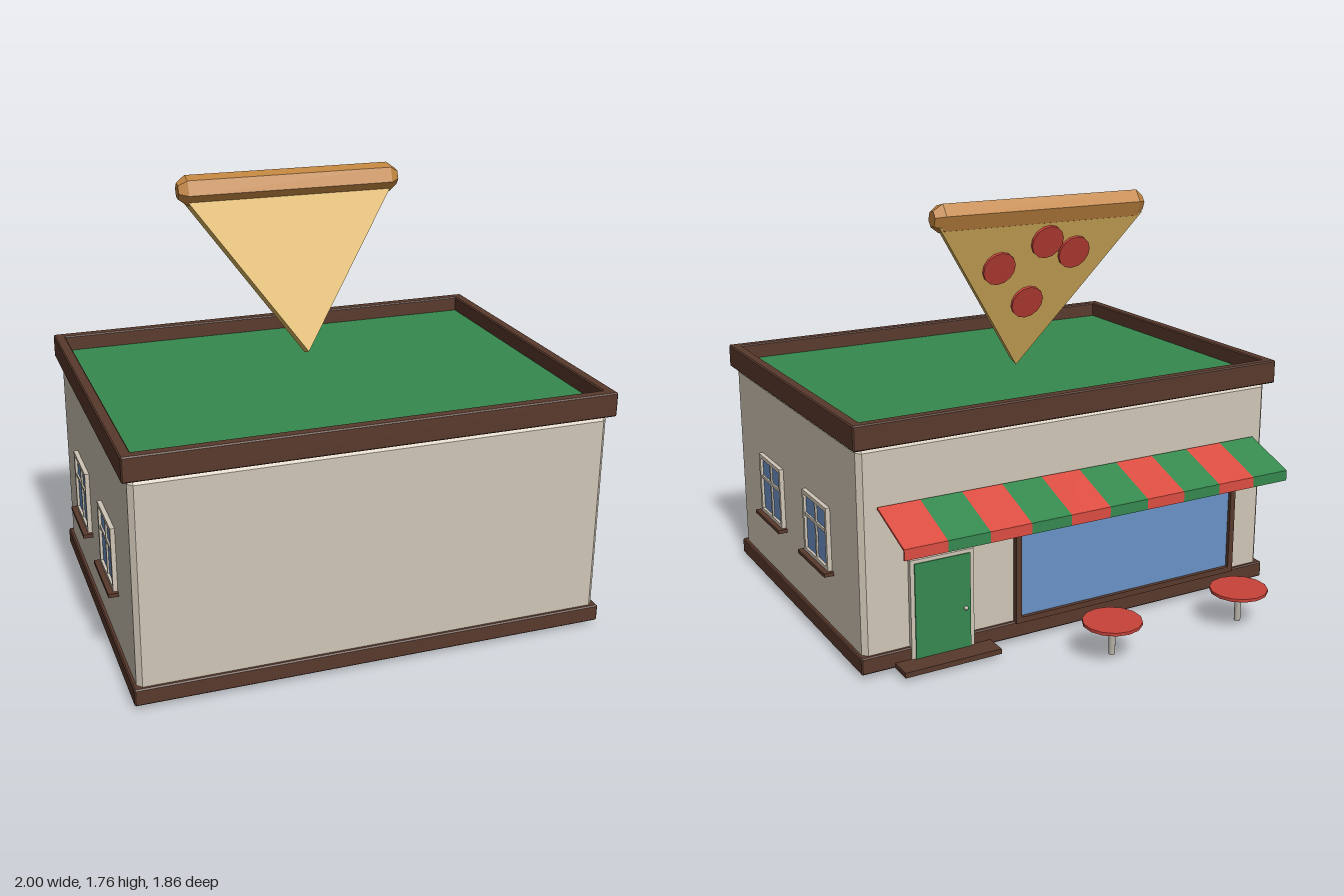
import * as THREE from 'three';
import { ConvexGeometry } from 'three/addons/geometries/ConvexGeometry.js';

const mat = (name, color, extra = {}) => {
  const m = new THREE.MeshStandardMaterial({ color, ...extra });
  m.name = name;
  return m;
};

export function createModel() {
  const root = new THREE.Group();
  root.name = 'pizzeria';
  const wall = mat('plaster', 0xd0c6b6);
  const trim = mat('darkWood', 0x59392c);
  const green = mat('green', 0x35894f);
  const red = mat('awningRed', 0xdc4d41);
  const darkRed = mat('tomatoRed', 0xc8433a);
  const cheese = mat('cheese', 0xdfb761);
  const crustMat = mat('crust', 0xc28541, { flatShading: true });
  const glass = mat('glass', 0x6a92c6);
  const metal = mat('metal', 0xb9b3a8);

  const add = (name, geo, material, x = 0, y = 0, z = 0, parent = root) => {
    const m = new THREE.Mesh(geo, material);
    m.name = name;
    m.position.set(x, y, z);
    parent.add(m);
    return m;
  };
  // Box given by its limits
  const box = (name, material, x0, x1, y0, y1, z0, z1, parent = root) =>
    add(name, new THREE.BoxGeometry(x1 - x0, y1 - y0, z1 - z0), material,
      (x0 + x1) / 2, (y0 + y1) / 2, (z0 + z1) / 2, parent);
  // Box with chamfered edges, given by its limits
  const chamferBox = (name, material, x0, x1, y0, y1, z0, z1, c) => {
    const h = [(x1 - x0) / 2, (y1 - y0) / 2, (z1 - z0) / 2];
    const pts = [];
    for (const sx of [-1, 1]) for (const sy of [-1, 1]) for (const sz of [-1, 1])
      for (let k = 0; k < 3; k++) {
        const p = h.map((v, i) => (i === k ? v : v - c));
        pts.push(new THREE.Vector3(sx * p[0], sy * p[1], sz * p[2]));
      }
    return add(name, new ConvexGeometry(pts), material, (x0 + x1) / 2, (y0 + y1) / 2, (z0 + z1) / 2);
  };
  // Rectangular frame in the xy plane, extruded along +z from 0
  const frameGeo = (x0, x1, y0, y1, t, depth) => {
    const rect = (a, b, c, d) => [[a, c], [b, c], [b, d], [a, d]].map(p => new THREE.Vector2(...p));
    const s = new THREE.Shape(rect(x0, x1, y0, y1));
    s.holes.push(new THREE.Path(rect(x0 + t, x1 - t, y0 + t, y1 - t).reverse()));
    return new THREE.ExtrudeGeometry(s, { depth, bevelEnabled: false });
  };

  // Building shell
  chamferBox('walls', wall, -0.96, 0.96, 0.03, 0.93, -0.49, 0.905, 0.02);
  chamferBox('plinth', trim, -0.975, 0.975, 0.02, 0.09, -0.505, 0.92, 0.005);
  box('roof', green, -0.945, 0.945, 0.92, 0.965, -0.48, 0.885);
  for (const s of [-1, 1]) {
    const a = s * 0.985, b = s * 0.94;
    chamferBox('corniceSide', trim, Math.min(a, b), Math.max(a, b), 0.93, 1.03, -0.52, 0.925, 0.005);
  }
  chamferBox('corniceBack', trim, -0.985, 0.985, 0.93, 1.03, -0.52, -0.475, 0.005);
  chamferBox('corniceFront', trim, -0.985, 0.985, 0.93, 1.03, 0.88, 0.925, 0.005);

  // Side windows, two on each side wall
  for (const s of [-1, 1]) for (const z of [0.47, -0.06]) {
    const w = new THREE.Group();
    w.name = 'sideWindow';
    w.position.set(s * 0.96, 0, z);
    w.rotation.y = s * Math.PI / 2;
    root.add(w);
    add('windowFrame', frameGeo(-0.132, 0.132, 0.335, 0.605, 0.018, 0.018), wall, 0, 0, 0, w);
    box('windowGlass', glass, -0.116, 0.116, 0.35, 0.59, -0.002, 0.007, w);
    box('verticalBar', wall, -0.007, 0.007, 0.35, 0.59, 0.006, 0.014, w);
    box('horizontalBar', wall, -0.116, 0.116, 0.493, 0.507, 0.006, 0.014, w);
    box('windowSill', trim, -0.148, 0.148, 0.322, 0.338, 0, 0.04, w);
  }

  // Shop window
  add('shopWindowFrame', frameGeo(-0.8, 0.3, 0.085, 0.56, 0.025, 0.03), trim, 0, 0, -0.517);
  box('shopWindowGlass', glass, -0.778, 0.278, 0.09, 0.54, -0.5, -0.492);

  // Door with frame, knob and step
  add('doorFrame', frameGeo(0.49, 0.765, 0, 0.455, 0.018, 0.022), wall, 0, 0, -0.51);
  box('door', green, 0.507, 0.748, 0.04, 0.44, -0.515, -0.49);
  add('doorKnob', new THREE.SphereGeometry(0.009, 10, 8), metal, 0.53, 0.21, -0.519);
  box('doorStep', trim, 0.415, 0.835, 0.018, 0.04, -0.6, -0.5);

  // Striped awning: sloped panels, each with a hanging flap
  const stripe = 0.178, run = 0.235, drop = 0.085;
  for (let i = 0; i < 10; i++) {
    const x = -0.89 + stripe * (i + 0.5);
    const m = i % 2 ? red : green;
    const panel = add('awningStripe', new THREE.BoxGeometry(stripe, 0.009, Math.hypot(run, drop)), m, x, 0.648, -0.6175);
    panel.rotation.x = -Math.atan2(drop, run);
    box('awningFlap', m, x - stripe / 2, x + stripe / 2, 0.565, 0.609, -0.738, -0.731);
  }

  // Outdoor tables
  for (const x of [-0.6, 0.03]) {
    add('tableTop', new THREE.CylinderGeometry(0.121, 0.121, 0.013, 14), darkRed, x, 0.156, -0.81);
    add('tableLeg', new THREE.CylinderGeometry(0.014, 0.014, 0.135, 10), metal, x, 0.084, -0.81);
  }

  // Rooftop pizza slice, leaning backwards: local y runs from tip to crust
  const slice = new THREE.Group();
  slice.name = 'pizzaSlice';
  slice.position.set(0, 1.025, 0.05);
  slice.rotation.x = -Math.PI / 9;
  root.add(slice);
  const tri = new THREE.Shape([[0, 0], [0.473, 0.7], [-0.473, 0.7]].map(p => new THREE.Vector2(...p)));
  add('cheeseWedge', new THREE.ExtrudeGeometry(tri, { depth: 0.06, bevelEnabled: false }), cheese, 0, 0, -0.03, slice);
  const profile = [[0, -0.488], [0.035, -0.488], [0.064, -0.45], [0.064, 0.45], [0.035, 0.488], [0, 0.488]]
    .map(p => new THREE.Vector2(...p));
  const crustGeo = new THREE.LatheGeometry(profile, 6);
  crustGeo.rotateY(Math.PI / 2).rotateZ(Math.PI / 2).scale(1, 1, 0.88);
  add('crust', crustGeo, crustMat, 0, 0.718, 0.015, slice);
  for (const [x, y] of [[0.176, 0.495], [-0.03, 0.6], [-0.169, 0.54], [0.012, 0.32]]) {
    const disc = add('pepperoni', new THREE.CylinderGeometry(0.073, 0.073, 0.016, 14), darkRed, x, y, -0.034, slice);
    disc.rotation.x = Math.PI / 2;
  }
  return root;
}
